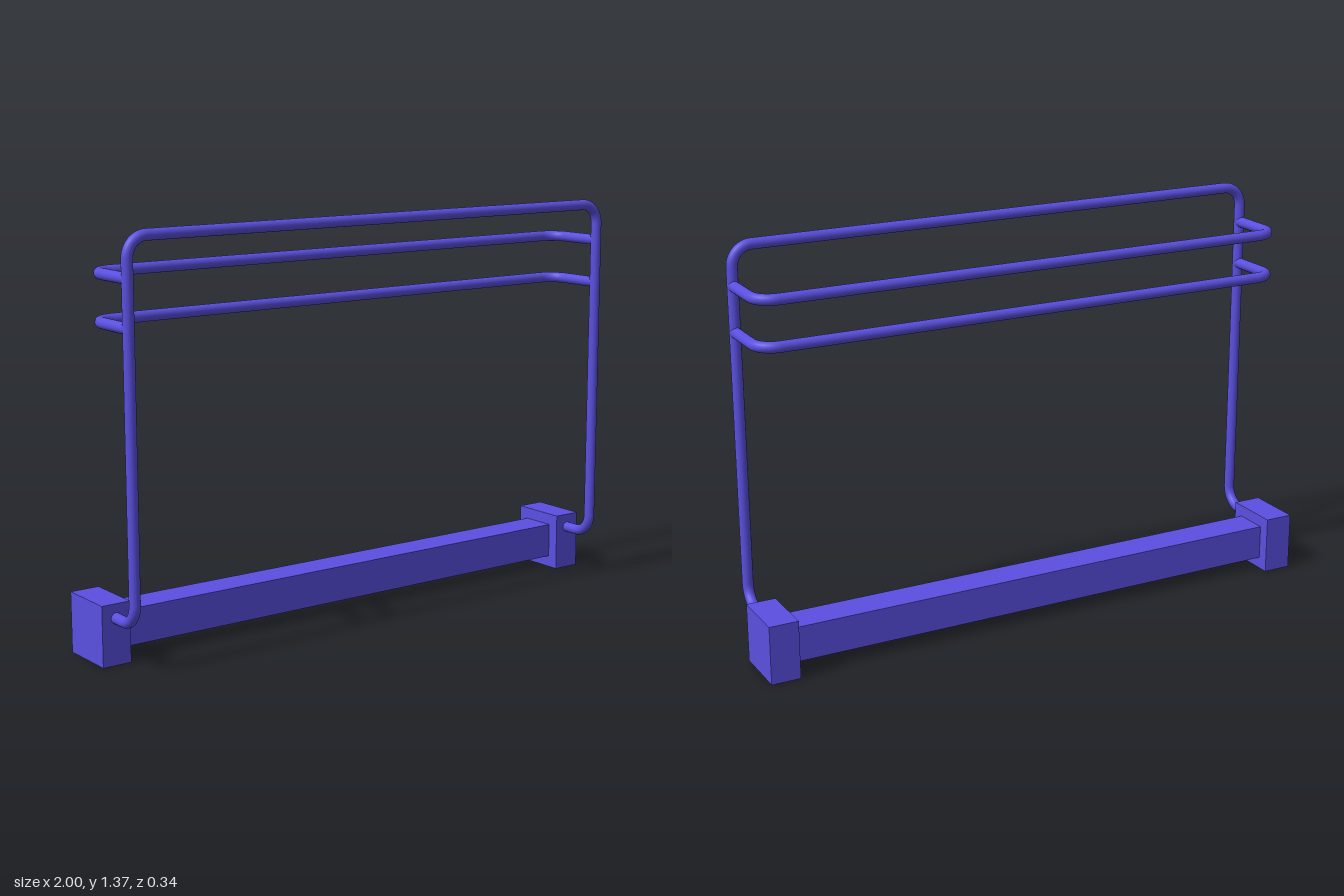
import * as THREE from 'three';
import { mergeGeometries } from 'three/addons/utils/BufferGeometryUtils.js';

const TUBE_RADIUS = 0.0183;
const BEND_RADIUS = 0.067;
const SIDES = 20;

// Round bar through the given corners, each corner bent to a quarter circle
function bentBar(corners) {
  const points = corners.map((c) => new THREE.Vector3(...c));
  const pieces = [];
  const add = (curve, steps) => pieces.push(new THREE.TubeGeometry(curve, steps, TUBE_RADIUS, SIDES));
  const toward = (from, to, d) => to.clone().sub(from).setLength(d).add(from);
  const handle = BEND_RADIUS * (1 - 0.5523);

  let start = points[0];
  for (let i = 1; i < points.length - 1; i++) {
    const [before, corner, after] = [points[i - 1], points[i], points[i + 1]];
    const bendIn = toward(corner, before, BEND_RADIUS);
    const bendOut = toward(corner, after, BEND_RADIUS);
    add(new THREE.LineCurve3(start, bendIn), 1);
    add(new THREE.CubicBezierCurve3(
      bendIn, toward(corner, before, handle), toward(corner, after, handle), bendOut), 12);
    start = bendOut;
  }
  add(new THREE.LineCurve3(start, points[points.length - 1]), 1);
  return mergeGeometries(pieces);
}

export function createModel() {
  const model = new THREE.Group();
  model.name = 'rack';
  const material = new THREE.MeshStandardMaterial({ color: 0x5a4fe0 });

  const addPart = (name, geometry, x = 0, y = 0, z = 0) => {
    const mesh = new THREE.Mesh(geometry, material);
    mesh.name = name;
    mesh.position.set(x, y, z);
    model.add(mesh);
  };

  // Base: square beam between two end blocks
  addPart('baseBeam', new THREE.BoxGeometry(1.8, 0.12, 0.12), 0, 0.1, -0.067);
  for (const [name, side] of [['leftEndBlock', 1], ['rightEndBlock', -1]]) {
    addPart(name, new THREE.BoxGeometry(0.1, 0.2, 0.2), side * 0.95, 0.1, -0.067);
  }

  // Main frame: out of one block, up, across and down into the other
  const postX = 0.95, postZ = 0.15, footY = 0.153, topY = 1.35;
  addPart('mainFrame', bentBar([
    [-postX, footY, 0.02], [-postX, footY, postZ], [-postX, topY, postZ],
    [postX, topY, postZ], [postX, footY, postZ], [postX, footY, 0.02],
  ]));

  // Two rails reaching back from the posts
  const railZ = -0.067;
  for (const [name, y] of [['upperRail', 1.223], ['lowerRail', 1.073]]) {
    addPart(name, bentBar([
      [-postX, y, postZ], [-postX, y, railZ], [postX, y, railZ], [postX, y, postZ],
    ]));
  }

  return model;
}
